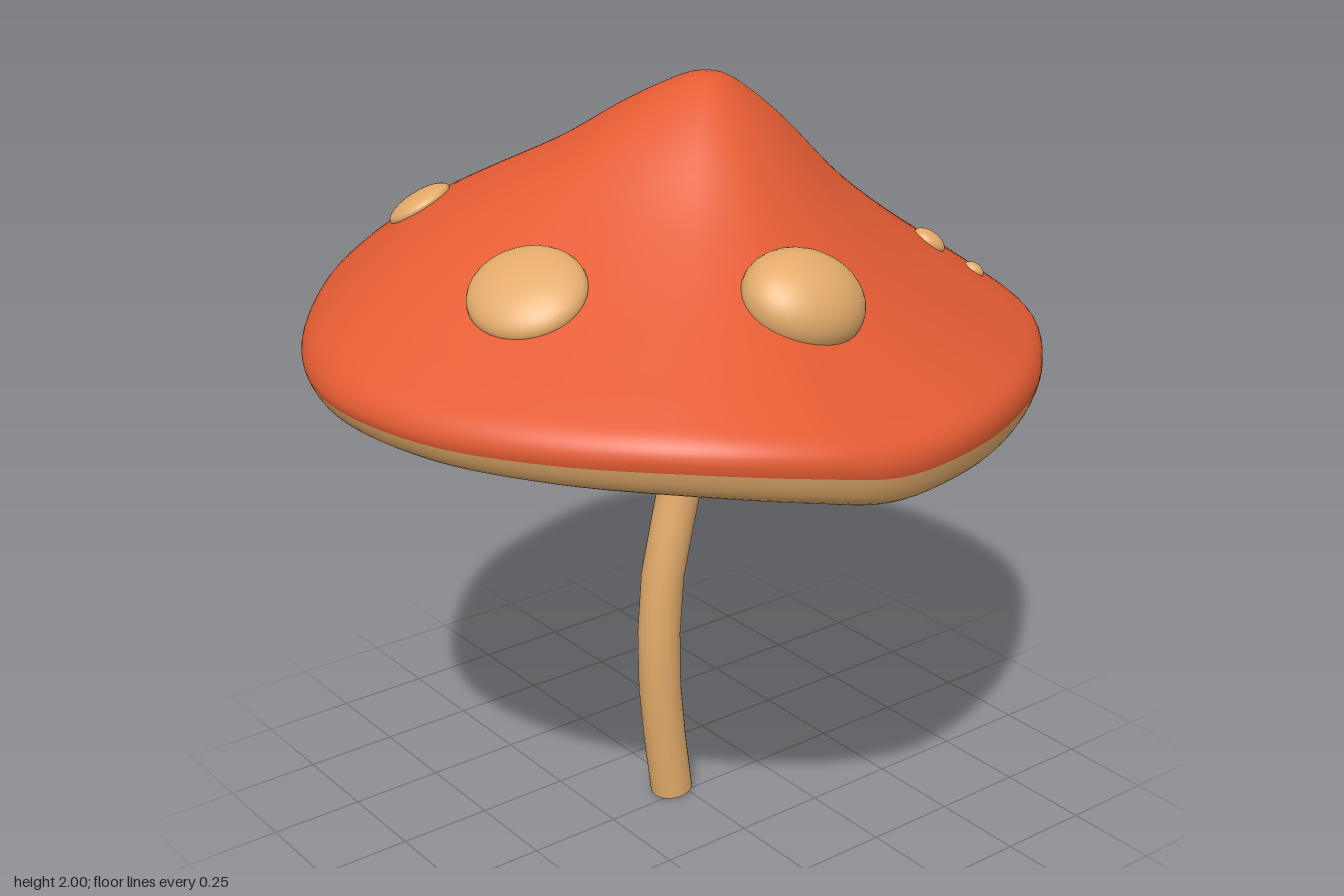
import * as THREE from 'three';

const red = new THREE.MeshStandardMaterial({ color: 0xe45c33 });
red.name = 'capRed';
const tan = new THREE.MeshStandardMaterial({ color: 0xe3ab6b });
tan.name = 'tan';

// Lower lip of the cap: x, height, z going round from the left side to the front
const lip = [
  [0.94, 1.20, 0.13], [0.9, 1.24, 0.34], [0.77, 1.275, 0.58], [0.53, 1.28, 0.79], [0.24, 1.28, 0.935],
  [-0.07, 1.295, 0.99], [-0.31, 1.315, 0.92], [-0.58, 1.345, 0.71], [-0.75, 1.345, 0.5], [-0.85, 1.33, 0.27],
  [-0.92, 1.315, 0.04], [-0.94, 1.31, -0.18], [-0.84, 1.31, -0.5], [-0.6, 1.29, -0.76], [-0.28, 1.25, -0.93],
  [0.05, 1.18, -1.0], [0.3, 1.15, -0.94], [0.53, 1.15, -0.74], [0.74, 1.17, -0.47], [0.89, 1.185, -0.16],
];
// Cap section from apex over the rim to the underside: radius share, height share, offset
const section = [
  [0.001, 1, 0], [0.05, 0.988, 0], [0.12, 0.93, 0], [0.22, 0.82, 0], [0.4, 0.585, 0], [0.6, 0.38, 0],
  [0.8, 0.21, 0], [0.92, 0.115, 0], [0.98, 0.06, 0], [1, 0, 0], [0.997, 0, -0.023],
  [0.97, 0, -0.068], [0.92, 0, -0.088], [0.84, 0, -0.088], [0.7, 0.02, -0.07], [0.5, 0.09, -0.035],
  [0.3, 0.2, 0], [0.12, 0.32, 0], [0.001, 0.36, 0],
];
const RED_SPANS = 10, SUB = 4, SEG = 120;

const curveOf = (pts, closed) =>
  new THREE.CatmullRomCurve3(pts.map((p) => new THREE.Vector3(...p)), closed);

// Uneven swelling of the cap top in the horizontal direction (dx, dz)
function swell(dx, dz) {
  const c = (dz - dx) * Math.SQRT1_2;
  return 0.045 * c + 0.085 * Math.max(0, c) ** 4 + 0.06 * Math.max(0, -dz) ** 2 + 0.015 * Math.max(0, dz);
}

function capGeometry() {
  const rim = curveOf(lip, true), profile = curveOf(section, false);
  const rings = (section.length - 1) * SUB;
  const pos = [], index = [];
  for (let i = 0; i <= rings; i++) {
    const { x: t, y: k, z: d } = profile.getPoint(i / rings);
    for (let j = 0; j < SEG; j++) {
      const p = rim.getPoint(j / SEG);
      const r = Math.hypot(p.x, p.z);
      const dx = p.x / r, dz = p.z / r;
      const thick = 0.09 + 0.035 * Math.max(0, dx) ** 2;
      const edge = p.y + thick;
      const bump = i < (RED_SPANS - 1) * SUB ? 6.75 * t * t * (1 - t) * swell(dx, dz) : 0;
      pos.push(
        0.015 * (1 - t) + p.x * t,
        edge + (2 - edge) * (k + bump) + (d * thick) / 0.09,
        -0.05 * (1 - t) + p.z * t,
      );
    }
  }
  for (let i = 0; i < rings; i++) {
    for (let j = 0; j < SEG; j++) {
      const n = (j + 1) % SEG;
      const a = i * SEG + j, b = i * SEG + n, c = a + SEG, d = b + SEG;
      index.push(a, b, c, b, d, c);
    }
  }
  const g = new THREE.BufferGeometry();
  g.setAttribute('position', new THREE.Float32BufferAttribute(pos, 3));
  g.setIndex(index);
  g.computeVertexNormals();
  const split = RED_SPANS * SUB * SEG * 6;
  g.addGroup(0, split, 0);
  g.addGroup(split, index.length - split, 1);
  return g;
}

// Position and normal on the top of the cap at a given x, z
function onCap(g, x, z) {
  const p = g.attributes.position, n = g.attributes.normal;
  let best = 0, bestD = Infinity;
  for (let i = 0; i < 9 * SUB * SEG; i++) {
    const d = (p.getX(i) - x) ** 2 + (p.getZ(i) - z) ** 2;
    if (d < bestD) { bestD = d; best = i; }
  }
  const normal = new THREE.Vector3().fromBufferAttribute(n, best);
  const dy = (normal.x * (x - p.getX(best)) + normal.z * (z - p.getZ(best))) / normal.y;
  return { point: new THREE.Vector3(x, p.getY(best) - dy, z), normal };
}

// Domed spot lying along the cap surface
function spot(cap, x, z, rx, rz, bulge) {
  const { point, normal } = onCap(cap, x, z);
  const tx = new THREE.Vector3(1, 0, 0).addScaledVector(normal, -normal.x).normalize();
  const tz = new THREE.Vector3().crossVectors(tx, normal).normalize();
  const m = new THREE.Mesh(new THREE.SphereGeometry(1, 32, 20), tan);
  m.name = 'spot';
  m.quaternion.setFromRotationMatrix(new THREE.Matrix4().makeBasis(tx, normal, tz));
  m.scale.set(rx / tx.x, bulge, rz / tz.z);
  m.position.copy(point);
  return m;
}

export function createModel() {
  const group = new THREE.Group();
  group.name = 'mushroom';

  // Cap: red top, tan lip and hollow underside
  const capGeo = capGeometry();
  const cap = new THREE.Mesh(capGeo, [red, tan]);
  cap.name = 'cap';
  group.add(cap);

  // Spots: x, z, radius in x, radius in z, bulge
  const spots = new THREE.Group();
  spots.name = 'spots';
  for (const s of [
    [0.17, 0.59, 0.145, 0.125, 0.06], [0.545, 0.085, 0.11, 0.16, 0.1], [-0.635, -0.185, 0.098, 0.112, 0.085],
    [-0.455, 0.49, 0.08, 0.08, 0.03], [-0.265, -0.36, 0.065, 0.07, 0.035],
    [0.18, -0.66, 0.042, 0.042, 0.026], [0.225, -0.785, 0.026, 0.026, 0.018],
  ]) spots.add(spot(capGeo, ...s));
  group.add(spots);

  // Bent stem with a closed foot
  const path = curveOf([
    [-0.03, 0.008, 0.03], [-0.03, 0.2, 0.055], [-0.028, 0.42, 0.073], [-0.026, 0.68, 0.058],
    [-0.023, 0.85, 0.02], [-0.02, 1.01, -0.014], [-0.015, 1.2, 0.01], [-0.01, 1.65, 0.03],
  ], false);
  const stem = new THREE.Mesh(new THREE.TubeGeometry(path, 10, 0.057, 24), tan);
  stem.name = 'stem';
  const foot = new THREE.Mesh(new THREE.CircleGeometry(0.057, 24), tan);
  foot.name = 'stemFoot';
  foot.position.copy(path.getPoint(0));
  foot.quaternion.setFromUnitVectors(new THREE.Vector3(0, 0, 1), path.getTangent(0).negate());
  group.add(stem, foot);

  return group;
}
